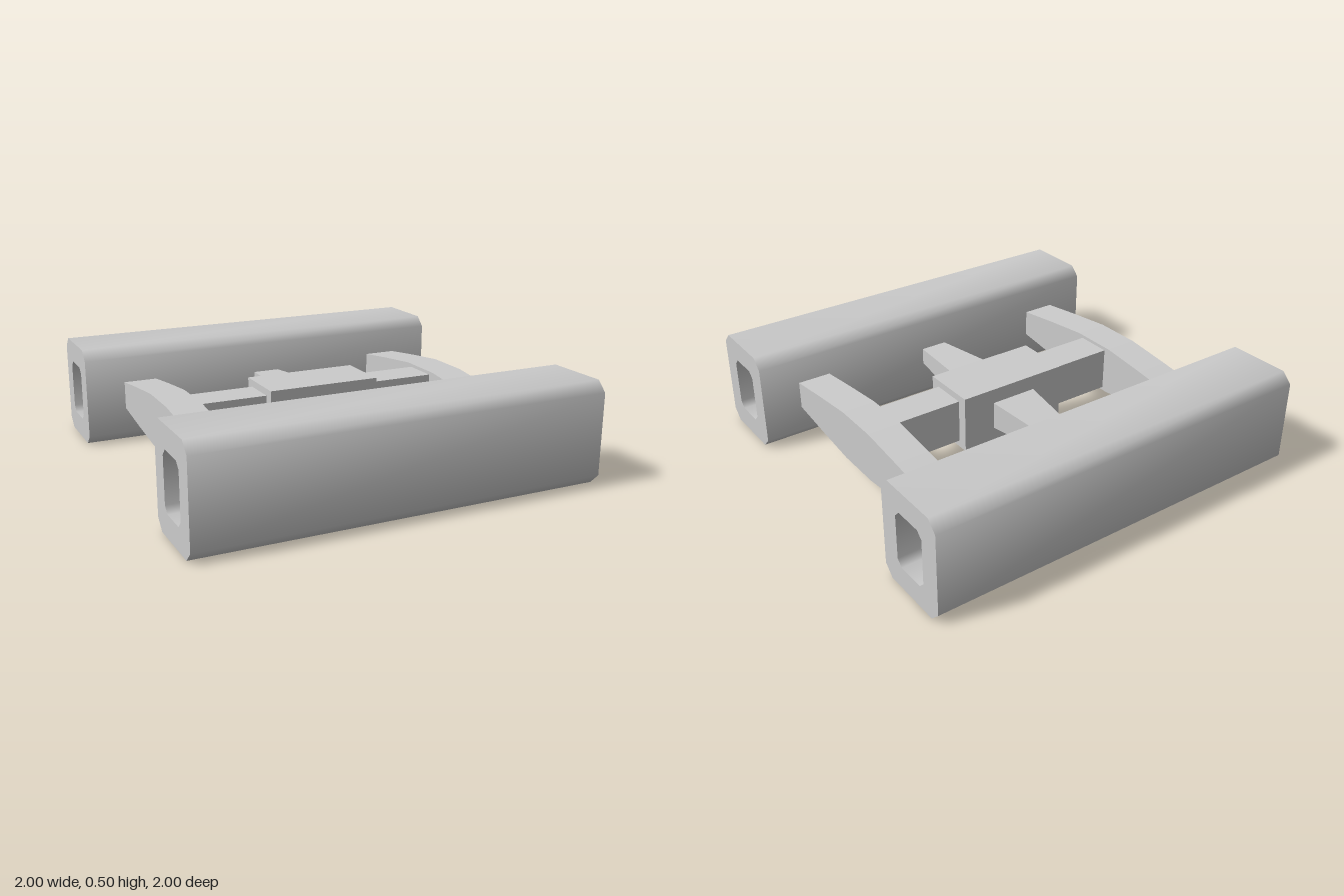
import * as THREE from 'three';
import { toCreasedNormals } from 'three/addons/utils/BufferGeometryUtils.js';

const material = new THREE.MeshStandardMaterial({ color: 0xcccccc });
const MID = 0.25; // height of the centre line

function add(group, name, geometry, x = 0, y = MID, z = 0) {
  const mesh = new THREE.Mesh(geometry, material);
  mesh.name = name;
  mesh.position.set(x, y, z);
  group.add(mesh);
  return mesh;
}

// Rectangle with cut corners, centred on the origin
function chamferedRect(path, w, h, c) {
  const a = w / 2, b = h / 2;
  const points = [[a - c, -b], [a, c - b], [a, b - c], [a - c, b],
    [c - a, b], [-a, b - c], [-a, c - b], [c - a, -b]];
  return path.setFromPoints(points.map(([x, y]) => new THREE.Vector2(x, y)));
}

// Extrude a profile drawn in the z-y plane along x, centred
function extrudeAlongX(shape, length) {
  return new THREE.ExtrudeGeometry(shape, { depth: length, bevelEnabled: false })
    .translate(0, 0, -length / 2)
    .rotateY(Math.PI / 2);
}

// Hollow beam with cut corners, softly shaded along its length
function beamGeometry() {
  const shape = chamferedRect(new THREE.Shape(), 0.41, 0.5, 0.05);
  shape.holes.push(chamferedRect(new THREE.Path(), 0.2, 0.28, 0.03));
  return toCreasedNormals(extrudeAlongX(shape, 2), THREE.MathUtils.degToRad(50));
}

// Bar that swells in height towards its middle
function barGeometry() {
  const half = [[-0.59, 0.07], [-0.36, 0.1], [-0.12, 0.127], [0.12, 0.127], [0.36, 0.1], [0.59, 0.07]];
  const upper = half.map(([z, h]) => new THREE.Vector2(z, h));
  const lower = half.map(([z, h]) => new THREE.Vector2(z, -h)).reverse();
  return extrudeAlongX(new THREE.Shape([...upper, ...lower]), 0.17);
}

// Arm running along +z, tapering in width and height
function armGeometry() {
  const length = 0.45;
  const geometry = new THREE.BoxGeometry(0.24, 0.14, length);
  const p = geometry.attributes.position;
  for (let i = 0; i < p.count; i++) {
    if (p.getZ(i) > 0) p.setXY(i, p.getX(i) * 0.58, p.getY(i) * 0.6);
  }
  const flat = geometry.translate(0, 0, length / 2).toNonIndexed();
  flat.computeVertexNormals();
  return flat;
}

export function createModel() {
  const group = new THREE.Group();
  const beam = beamGeometry(), bar = barGeometry(), arm = armGeometry();
  const sideArm = new THREE.BoxGeometry(0.345, 0.22, 0.18);

  // Central block
  add(group, 'hub', new THREE.BoxGeometry(0.575, 0.29, 0.285));

  for (const s of [1, -1]) {
    const lengthwise = s > 0 ? 'front' : 'back';
    const sideways = s > 0 ? 'left' : 'right';
    // Beams and the tapered arms pointing at them
    add(group, `${lengthwise}Beam`, beam, 0, MID, s * 0.795);
    const taper = add(group, `${lengthwise}Arm`, arm, 0, MID, s * 0.14);
    if (s < 0) taper.rotation.y = Math.PI;
    // Swelling bars joining the beams and the arms holding the hub
    add(group, `${sideways}Bar`, bar, s * 0.715);
    add(group, `${sideways}Arm`, sideArm, s * 0.459);
  }
  return group;
}
